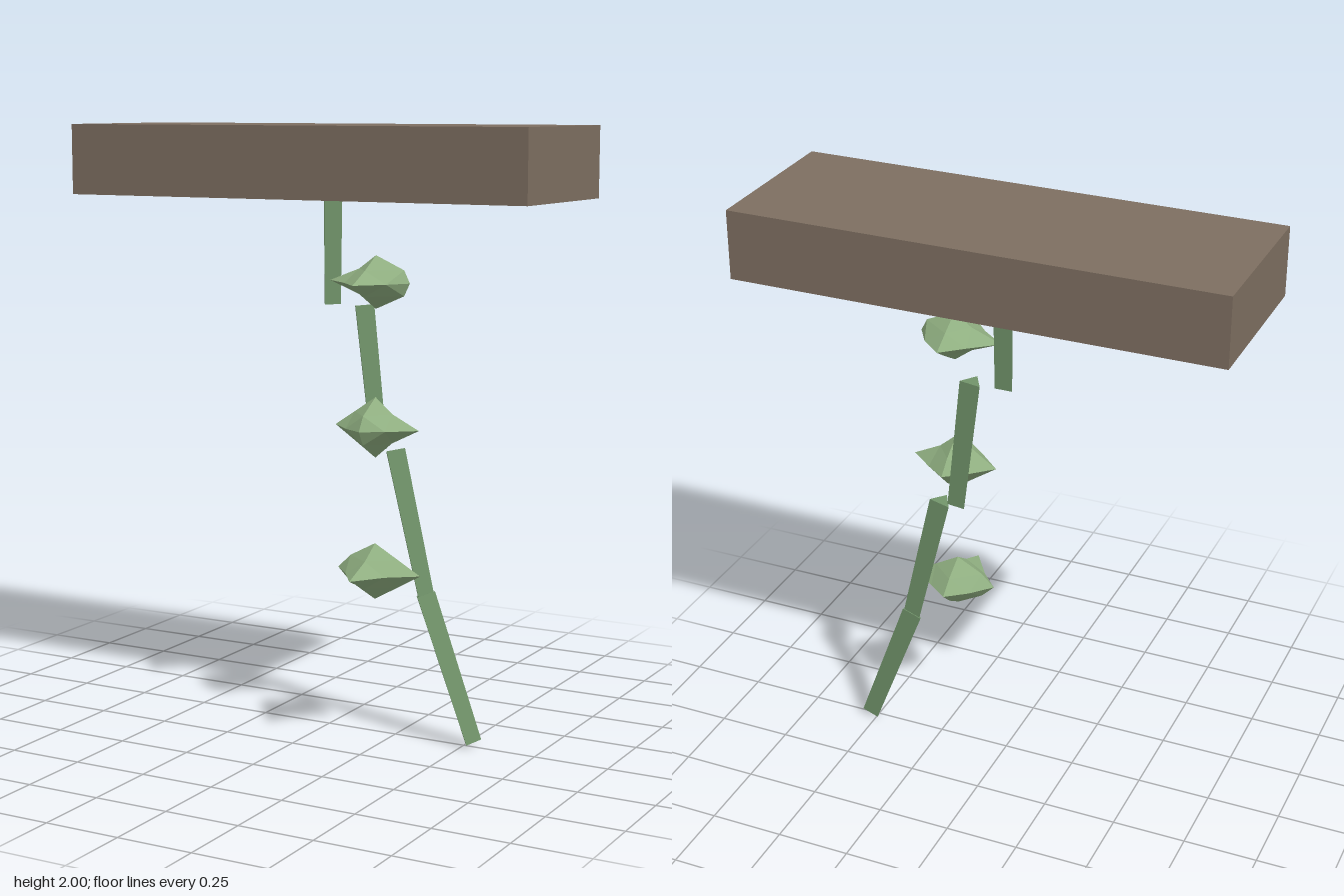
import * as THREE from 'three';

const paint = (color, side = THREE.FrontSide) =>
  new THREE.MeshStandardMaterial({ color, side, flatShading: true });

// Planter: a thin box, open underneath
function makePlanter() {
  const geo = new THREE.BoxGeometry(1.635, 0.23, 0.564);
  const index = Array.from(geo.index.array);
  index.splice(18, 6); // drop the bottom face
  geo.setIndex(index);
  geo.clearGroups();
  const mesh = new THREE.Mesh(geo, paint(0x7d6e60, THREE.DoubleSide));
  mesh.name = 'planter';
  mesh.position.set(0, 1.885, -0.005);
  return mesh;
}

// Leaf clump: an octahedron split once, pulled into four spikes.
// tips and ring list the radii towards +x, +z, -x, -z.
function makeLeaf(height, tips, ring, notch) {
  const geo = new THREE.OctahedronGeometry(1, 1);
  const p = geo.attributes.position;
  for (let i = 0; i < p.count; i++) {
    const x = p.getX(i), y = p.getY(i), z = p.getZ(i);
    const a = Math.atan2(z, x);
    const quarter = a / (Math.PI / 2);
    const k = (Math.round(quarter) + 4) % 4;
    const diagonal = Math.abs(quarter - Math.round(quarter)) > 0.3;
    let r, h = 0;
    if (Math.abs(y) > 0.9) { r = 0; h = height; }
    else if (Math.abs(y) > 0.3) { r = ring[k]; h = height * 0.48; }
    else r = diagonal ? notch : tips[k];
    p.setXYZ(i, r * Math.cos(a), Math.sign(y) * h, r * Math.sin(a));
  }
  geo.computeVertexNormals();
  return new THREE.Mesh(geo, paint(0x8fae80));
}

export function createModel() {
  const model = new THREE.Group();
  model.name = 'hangingPlant';
  model.add(makePlanter());

  // Vine: separate three-sided pieces, each leaning further than the last
  const vine = new THREE.Group();
  vine.name = 'vine';
  const lengths = [0.47, 0.472, 0.485, 0.505];
  lengths.forEach((length, i) => {
    const stem = new THREE.Mesh(
      new THREE.CylinderGeometry(0.041, 0.035, length, 3), paint(0x6f9168));
    stem.name = 'stem' + (i + 1);
    stem.position.set(0.145 * i, 1.655 - 0.469 * i, -0.005);
    stem.rotation.z = 0.12 * i;
    vine.add(stem);
  });
  model.add(vine);

  // Leaves: one column beside the vine
  const leaves = [
    { y: 1.51, h: 0.085, tips: [0.12, 0.158, 0.165, 0.14], ring: [0.1, 0.075, 0.06, 0.075], notch: 0.105 },
    { y: 1.045, h: 0.098, tips: [0.155, 0.113, 0.145, 0.122], ring: [0.06, 0.085, 0.075, 0.075], notch: 0.1 },
    { y: 0.575, h: 0.092, tips: [0.163, 0.175, 0.135, 0.125], ring: [0.085, 0.07, 0.09, 0.075], notch: 0.1 },
  ];
  leaves.forEach(({ y, h, tips, ring, notch }, i) => {
    const leaf = makeLeaf(h, tips, ring, notch);
    leaf.name = 'leaf' + (i + 1);
    leaf.position.set(0.23, y, 0.112);
    model.add(leaf);
  });

  return model;
}
